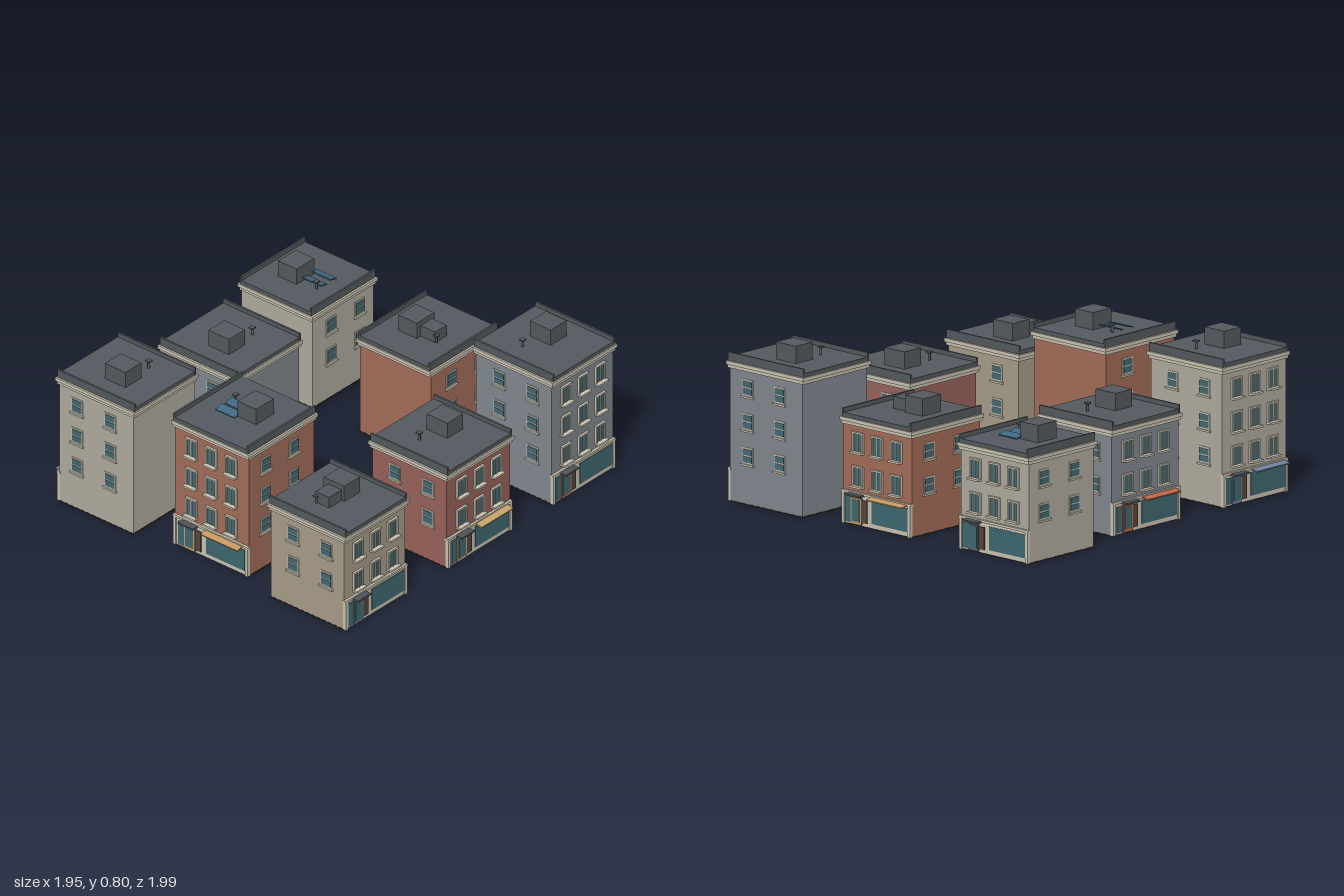
import * as THREE from 'three';

const mat = (color) => new THREE.MeshStandardMaterial({ color });
const M = {
  roof: mat(0x555b60), trim: mat(0xcdc6b4), glass: mat(0x456a74), panel: mat(0x3f6a86),
  shopGlass: mat(0x3f6a72), dark: mat(0x54483f), base: mat(0x3a2c24), canopy: mat(0x50565a),
};
const STONE = 0xb3aea2, BRICK = 0xa66e5a, TAN = 0xaa9f8b, SLATE = 0x838a92, RED = 0x9a655c;
const FLOOR = 0.168;

// Box given by its centre and size
function box(parent, name, material, [x, y, z], [w, h, d]) {
  const mesh = new THREE.Mesh(new THREE.BoxGeometry(w, h, d), material);
  mesh.position.set(x, y, z);
  mesh.name = name;
  parent.add(mesh);
  return mesh;
}

// Tall street window with an upright mullion, facing +z
function frontWindow() {
  const g = new THREE.Group();
  g.name = 'frontWindow';
  for (const s of [-1, 1]) box(g, 'windowJamb', M.trim, [s * 0.031, 0, 0.004], [0.009, 0.1, 0.012]);
  box(g, 'windowHead', M.trim, [0, 0.047, 0.004], [0.071, 0.009, 0.014]);
  box(g, 'windowGlass', M.glass, [0, 0, 0.001], [0.056, 0.09, 0.006]);
  box(g, 'mullion', M.trim, [0, 0, 0.004], [0.005, 0.09, 0.008]);
  box(g, 'windowSill', M.trim, [0, -0.05, 0.012], [0.076, 0.01, 0.03]);
  return g;
}

// Sash window for the side walls, facing +z
function sideWindow() {
  const g = new THREE.Group();
  g.name = 'sideWindow';
  box(g, 'sashFrame', M.trim, [0, 0, 0], [0.07, 0.082, 0.006]);
  for (const s of [-1, 1]) box(g, 'sashGlass', M.glass, [0, s * 0.018, 0.001], [0.06, 0.03, 0.008]);
  box(g, 'sashSill', M.trim, [0, -0.046, 0.003], [0.084, 0.009, 0.016]);
  return g;
}

// Ground-floor shop: glazed entrance on one side, display window on the other
function shopfront(w, accent, awning) {
  const g = new THREE.Group();
  g.name = 'shopfront';
  const trimZ = 0.005, accentMat = mat(accent);
  box(g, 'shopSurround', M.trim, [0, 0.083, 0], [w, 0.158, 0.012]);
  box(g, 'shopBand', M.trim, [0, 0.162, 0.002], [w + 0.006, 0.012, 0.02]);
  for (const s of [-1, 1]) box(g, 'shopPilaster', M.trim, [s * (w / 2 - 0.008), 0.08, trimZ], [0.016, 0.156, 0.014]);
  box(g, 'displayWindow', M.shopGlass, [0.092, 0.085, trimZ], [0.245, 0.116, 0.008]);
  box(g, 'entranceGlass', M.shopGlass, [-0.15, 0.077, trimZ], [0.11, 0.13, 0.008]);
  box(g, 'entrancePanel', M.dark, [-0.082, 0.078, trimZ], [0.042, 0.112, 0.012]);
  box(g, 'doorFrame', accentMat, [-0.132, 0.073, trimZ + 0.002], [0.068, 0.13, 0.012]);
  box(g, 'doorGlass', M.shopGlass, [-0.132, 0.077, trimZ + 0.004], [0.05, 0.108, 0.012]);
  box(g, 'doorCanopy', M.canopy, [-0.128, 0.157, 0.022], [0.095, 0.009, 0.05]);
  if (awning) {
    const a = box(g, 'awning', accentMat, [0.085, 0.156, 0.023], [0.232, 0.007, 0.05]);
    a.rotation.x = 0.2;
  }
  return g;
}

// One building facing +z; w and d are its outer cornice size
function building({ x, z, w, d, turn, upper, wall, accent, awning, roofItem }) {
  const g = new THREE.Group();
  g.name = 'building';
  const ww = w - 0.022, wd = d - 0.03, top = FLOOR * upper + 0.159, roofY = top + 0.052;
  box(g, 'foundation', M.base, [0, 0.003, 0], [ww, 0.006, wd]);
  box(g, 'walls', mat(wall), [0, (top + 0.006) / 2, 0], [ww - 0.002, top - 0.006, wd - 0.002]);

  // Cornice in two steps, roof slab and side parapets
  box(g, 'corniceLower', M.trim, [0, top + 0.006, 0], [w - 0.012, 0.016, d - 0.012]);
  box(g, 'corniceUpper', M.trim, [0, top + 0.023, 0], [w, 0.018, d]);
  box(g, 'roofSlab', M.roof, [0, top + 0.042, 0], [ww, 0.02, d - 0.014]);
  for (const s of [-1, 1]) {
    box(g, 'sideParapet', M.roof, [s * (ww / 2 - 0.004), top + 0.053, 0], [0.01, 0.042, d - 0.012]);
  }

  // Windows of the upper floors
  for (let f = 0; f < upper; f++) {
    const y = 0.244 + f * FLOOR;
    for (const c of [-1, 0, 1]) {
      const win = frontWindow();
      win.position.set(c * 0.126, y, wd / 2);
      g.add(win);
    }
    for (const s of [-1, 1]) for (const wz of [0.12, -0.09]) {
      const win = sideWindow();
      win.position.set(s * ww / 2, y, wz);
      win.rotation.y = s * Math.PI / 2;
      g.add(win);
    }
  }
  const shop = shopfront(ww, accent, awning);
  shop.position.z = wd / 2;
  g.add(shop);

  // Roof: stair house, vent pipe and optional equipment
  box(g, 'stairHouse', M.roof, [0.053, roofY + 0.043, -0.022], [0.117, 0.086, 0.13]);
  const pipe = new THREE.Mesh(new THREE.CylinderGeometry(0.007, 0.007, 0.04, 8), M.roof);
  pipe.name = 'ventPipe';
  pipe.position.set(-0.1, roofY + 0.02, -0.052);
  g.add(pipe);
  box(g, 'ventCap', M.roof, [-0.1, roofY + 0.039, -0.052], [0.025, 0.008, 0.025]);
  if (roofItem === 'solar') {
    for (const pz of [-0.022, 0.05]) {
      const p = box(g, 'solarPanel', M.panel, [-0.06, roofY + 0.012, pz], [0.12, 0.005, 0.048]);
      p.rotation.x = 0.25;
    }
  } else if (roofItem === 'cooler') {
    box(g, 'coolingUnit', M.roof, [-0.05, roofY + 0.03, -0.016], [0.095, 0.06, 0.085]);
  }
  g.position.set(x, 0, z);
  g.rotation.y = turn * Math.PI / 2;
  return g;
}

export function createModel() {
  const root = new THREE.Group();
  root.name = 'cityBlock';
  // turn: quarter turns, 0 = front, 1 = +x, 2 = back, -1 = -x
  const plan = [
    { x: -0.739, z: -0.674, w: 0.473, d: 0.481, turn: 2, upper: 2, wall: STONE, accent: 0x5c6166, roofItem: 'solar' },
    { x: 0.018, z: -0.677, w: 0.473, d: 0.508, turn: 2, upper: 2, wall: BRICK, accent: 0xc79a62, awning: true, roofItem: 'cooler' },
    { x: 0.684, z: -0.762, w: 0.476, d: 0.51, turn: 1, upper: 3, wall: SLATE, accent: 0xb8664c },
    { x: -0.65, z: -0.003, w: 0.492, d: 0.496, turn: -1, upper: 2, wall: SLATE, accent: 0xc0664c, awning: true },
    { x: 0.684, z: -0.003, w: 0.492, d: 0.5, turn: 1, upper: 2, wall: RED, accent: 0xc7a468, awning: true },
    { x: -0.653, z: 0.754, w: 0.472, d: 0.5, turn: -1, upper: 3, wall: STONE, accent: 0x76809f, awning: true },
    { x: 0.016, z: 0.667, w: 0.494, d: 0.508, turn: 0, upper: 3, wall: BRICK, accent: 0xc79a62, awning: true, roofItem: 'solar' },
    { x: 0.684, z: 0.754, w: 0.472, d: 0.494, turn: 1, upper: 2, wall: TAN, accent: 0x6a7a88, roofItem: 'cooler' },
  ];
  for (const b of plan) root.add(building(b));
  return root;
}
